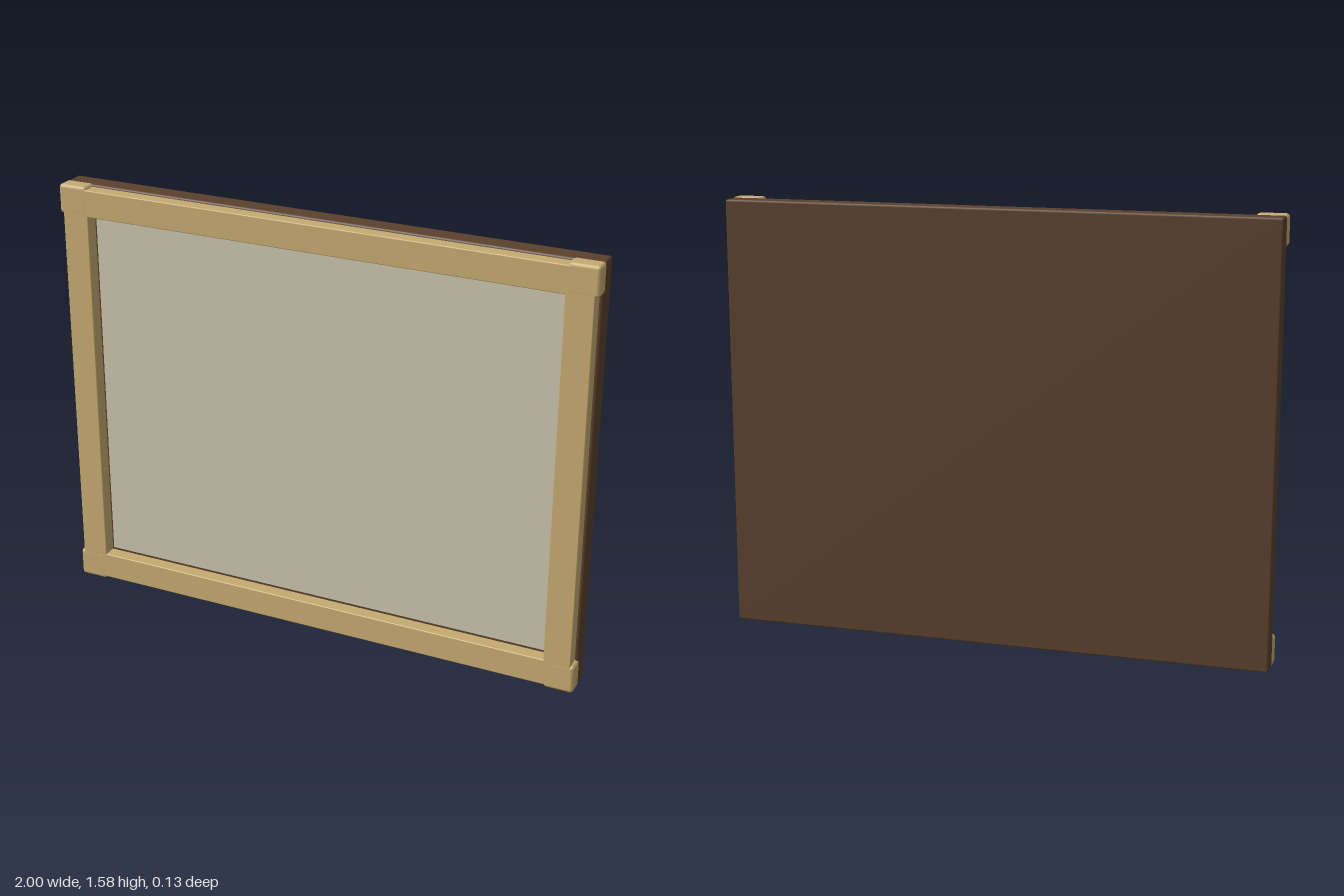
import * as THREE from 'three';
import { RoundedBoxGeometry } from 'three/addons/geometries/RoundedBoxGeometry.js';

export function createModel() {
  const model = new THREE.Group();
  const material = (name, color) => {
    const m = new THREE.MeshStandardMaterial({ color });
    m.name = name;
    return m;
  };
  const wood = material('dark wood', 0x5a402c);
  const gold = material('pale gold', 0xc6aa70);
  const cream = material('cream panel', 0xcac4ae);

  const H = 1.58, midY = H / 2;

  // Softened box given by its size and centre
  const block = (name, mat, w, h, d, x, y, z, r) => {
    const mesh = new THREE.Mesh(new RoundedBoxGeometry(w, h, d, 1, r), mat);
    mesh.name = name;
    mesh.position.set(x, y, z);
    model.add(mesh);
  };

  // Backing board
  block('backBoard', wood, 1.994, H - 0.006, 0.08, 0, midY, -0.025, 0.008);

  // Thin display panel, leaving a narrow wooden lip inside the rails
  const panel = new THREE.Mesh(new THREE.BoxGeometry(1.754, 1.336, 0.008), cream);
  panel.name = 'panel';
  panel.position.set(0, midY, 0.018);
  model.add(panel);

  // Frame rails, mirrored across both axes
  for (const s of [-1, 1]) {
    const side = s > 0 ? 'left' : 'right';
    const end = s > 0 ? 'top' : 'bottom';
    block(side + 'Rail', gold, 0.1, 1.52, 0.053, s * 0.936, midY, 0.0385, 0.004);
    block(end + 'Rail', gold, 1.93, 0.1, 0.053, 0, midY + s * 0.73, 0.0385, 0.004);

    // Corner caps standing proud of the rails and board
    for (const t of [-1, 1]) {
      block(side + (t > 0 ? 'Top' : 'Bottom') + 'CornerCap', gold,
        0.11, 0.108, 0.066, s * 0.945, midY + t * 0.736, 0.033, 0.012);
    }
  }
  return model;
}
